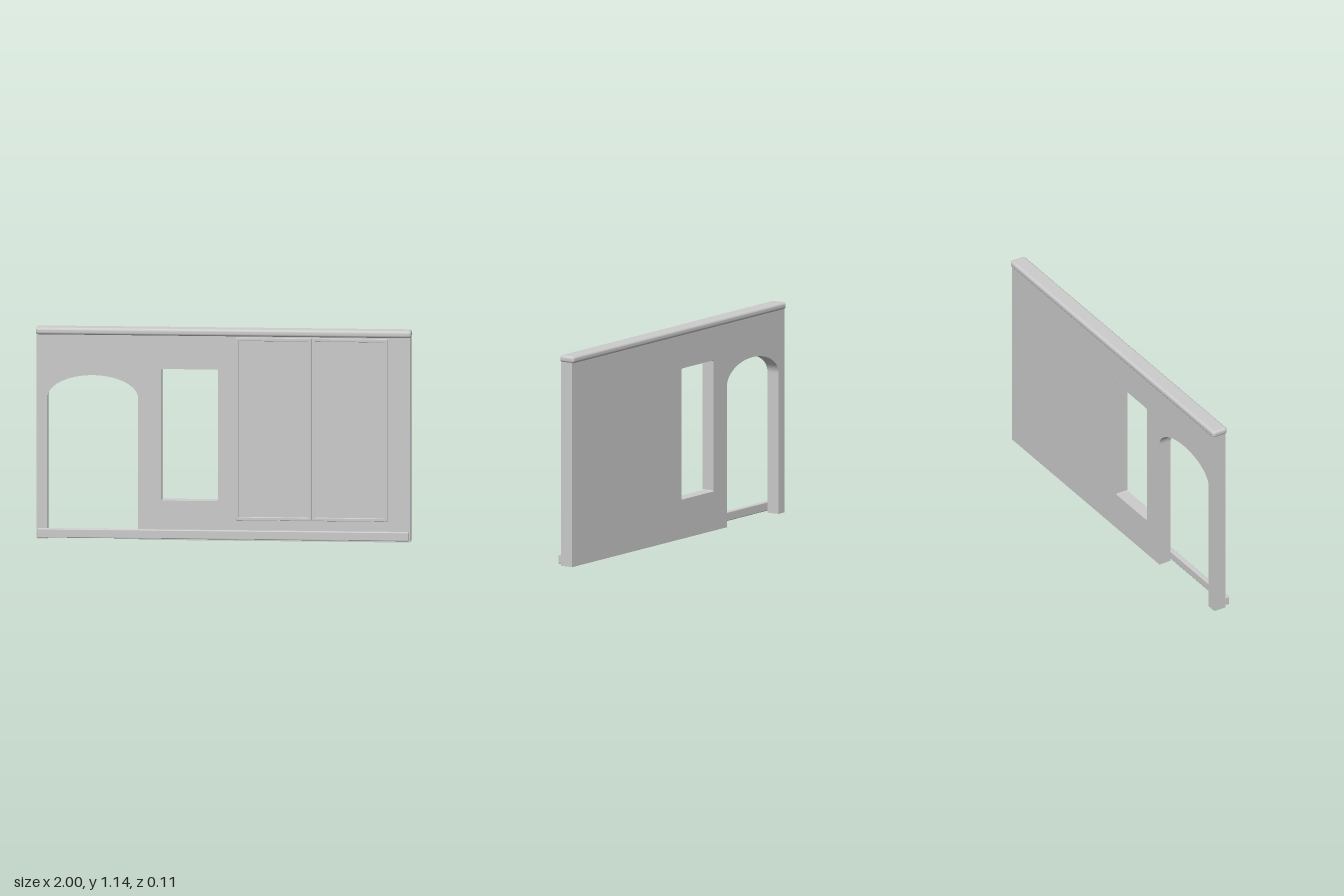
import * as THREE from 'three';
import { RoundedBoxGeometry } from 'three/addons/geometries/RoundedBoxGeometry.js';

const plaster = new THREE.MeshStandardMaterial({ color: 0xcccccc });
plaster.name = 'plaster grey';

// Rectangle path with slightly rounded corners
function rectPath(path, x0, y0, x1, y1, r) {
  path.moveTo(x0 + r, y0);
  path.lineTo(x1 - r, y0);
  path.quadraticCurveTo(x1, y0, x1, y0 + r);
  path.lineTo(x1, y1 - r);
  path.quadraticCurveTo(x1, y1, x1 - r, y1);
  path.lineTo(x0 + r, y1);
  path.quadraticCurveTo(x0, y1, x0, y1 - r);
  path.lineTo(x0, y0 + r);
  path.quadraticCurveTo(x0, y0, x0 + r, y0);
  return path;
}

export function createModel() {
  const group = new THREE.Group();
  group.name = 'wallSection';

  const add = (name, geometry, x = 0, y = 0, z = 0, parent = group) => {
    const mesh = new THREE.Mesh(geometry, plaster);
    mesh.name = name;
    mesh.position.set(x, y, z);
    parent.add(mesh);
    return mesh;
  };

  // Box given by its limits, with softened edges
  const addBar = (name, [x0, x1], [y0, y1], [z0, z1], radius, parent) =>
    add(name, new RoundedBoxGeometry(x1 - x0, y1 - y0, z1 - z0, 4, radius),
      (x0 + x1) / 2, (y0 + y1) / 2, (z0 + z1) / 2, parent);

  // Wall outline with an open archway cut up from the floor
  const archLeft = -0.938, archRight = -0.455, spring = 0.76, rise = 0.123;
  const wall = new THREE.Shape();
  wall.moveTo(-0.995, 0);
  wall.lineTo(archLeft, 0);
  wall.lineTo(archLeft, spring);
  wall.absellipse((archLeft + archRight) / 2, spring,
    (archRight - archLeft) / 2, rise, Math.PI, 0, true);
  wall.lineTo(archRight, 0);
  wall.lineTo(0.995, 0);
  wall.lineTo(0.995, 1.11);
  wall.lineTo(-0.995, 1.11);
  wall.closePath();

  // Window opening
  wall.holes.push(rectPath(new THREE.Path(), -0.33, 0.212, -0.03, 0.92, 0.008));
  add('wall', new THREE.ExtrudeGeometry(wall, {
    depth: 0.071, bevelEnabled: false, curveSegments: 24,
  }), 0, 0, -0.043);

  // Coping along the top and skirting along the floor
  addBar('topCoping', [-1, 1], [1.099, 1.137], [-0.054, 0.038], 0.015);
  addBar('skirting', [-0.992, 0.988], [0.01, 0.058], [0.027, 0.054], 0.005);

  // Two tall panels, each a backing board with a raised frame
  for (const [name, x0, x1] of [['middlePanel', 0.065, 0.468], ['endPanel', 0.471, 0.874]]) {
    const panel = new THREE.Group();
    panel.name = name;
    group.add(panel);

    addBar(name + 'Board', [x0 + 0.009, x1 - 0.009], [0.122, 1.085], [0.026, 0.037], 0.001, panel);

    const bevel = 0.003;
    const frame = rectPath(new THREE.Shape(),
      x0 + bevel, 0.113 + bevel, x1 - bevel, 1.096 - bevel, 0.003);
    frame.holes.push(rectPath(new THREE.Path(),
      x0 + 0.016 + bevel - 0.004, 0.129 + bevel - 0.004,
      x1 - 0.016 - bevel + 0.004, 1.08 - bevel + 0.004, 0.002));
    add(name + 'Frame', new THREE.ExtrudeGeometry(frame, {
      depth: 0.006, bevelEnabled: true, bevelThickness: bevel, bevelSize: bevel,
      bevelSegments: 2, curveSegments: 3,
    }), 0, 0, 0.039, panel);
  }

  return group;
}
